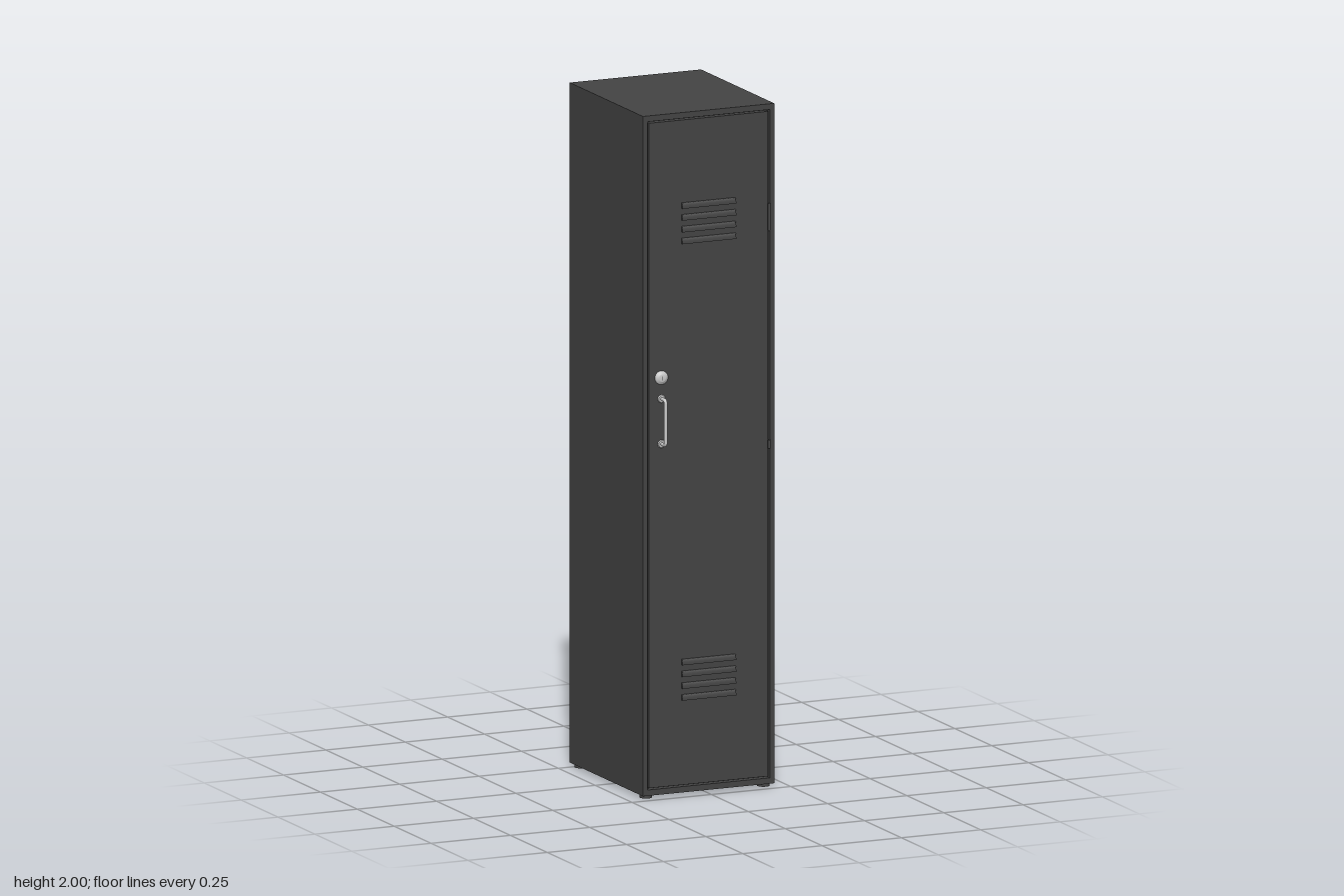
import * as THREE from 'three';

const W = 0.414, BACK = -0.265, FRONT = 0.231, Y0 = 0.01, Y1 = 2, T = 0.008;
const D = FRONT - BACK, H = Y1 - Y0, MY = (Y0 + Y1) / 2, MZ = (FRONT + BACK) / 2;

export function createModel() {
  const root = new THREE.Group();
  root.name = 'locker';
  const paint = new THREE.MeshStandardMaterial({ color: 0x444444 });
  const metal = new THREE.MeshStandardMaterial({ color: 0xcccccc });

  function add(name, geo, mat, x = 0, y = 0, z = 0, parent = root) {
    const m = new THREE.Mesh(geo, mat);
    m.name = name;
    m.position.set(x, y, z);
    parent.add(m);
    return m;
  }
  const box = (name, w, h, d, x, y, z, parent) =>
    add(name, new THREE.BoxGeometry(w, h, d), paint, x, y, z, parent);

  // Sheet metal cabinet shell
  for (const s of [-1, 1]) box('sidePanel', T, H, D, s * (W - T) / 2, MY, MZ);
  box('backPanel', W - 2 * T, H, T, 0, MY, BACK + T / 2);
  box('topPanel', W - 2 * T, T, D - T, 0, Y1 - T / 2, MZ + T / 2);
  box('bottomPanel', W - 2 * T, T, D - T, 0, Y0 + T / 2, MZ + T / 2);

  // Low feet at the corners
  for (const x of [-0.185, 0.185])
    for (const z of [BACK + 0.027, FRONT - 0.027])
      add('foot', new THREE.CylinderGeometry(0.018, 0.018, Y0, 20), paint, x, Y0 / 2, z);

  // Front frame with the door opening
  const frame = new THREE.Shape();
  frame.moveTo(-W / 2 + T, Y0 + T).lineTo(W / 2 - T, Y0 + T)
    .lineTo(W / 2 - T, Y1 - T).lineTo(-W / 2 + T, Y1 - T).closePath();
  const hole = new THREE.Path();
  hole.moveTo(-0.193, 0.027).lineTo(-0.193, 1.983)
    .lineTo(0.193, 1.983).lineTo(0.193, 0.027).closePath();
  frame.holes.push(hole);
  add('frontFrame', new THREE.ExtrudeGeometry(frame, { depth: 0.02, bevelEnabled: false }),
    paint, 0, 0, FRONT - 0.02);
  // Rebate behind the door gap
  box('doorStop', W - 2 * T, H - 2 * T, 0.004, 0, MY, FRONT - 0.022);

  // Door with a narrow gap all round
  const door = new THREE.Group();
  door.name = 'door';
  root.add(door);
  box('doorPanel', 0.376, 1.946, 0.018, 0, 1.005, FRONT - 0.01, door);

  // Louvres: pressed hoods open underneath
  const hood = new THREE.Shape();
  hood.moveTo(0, 0.009).quadraticCurveTo(0.006, 0.008, 0.006, -0.008)
    .lineTo(0.004, -0.008).quadraticCurveTo(0.004, 0.004, 0, 0.005).closePath();
  const hoodGeo = new THREE.ExtrudeGeometry(hood, { depth: 0.17, bevelEnabled: false, curveSegments: 8 });
  hoodGeo.rotateY(-Math.PI / 2).translate(0.085, 0, 0);
  for (const top of [1.727, 0.391])
    for (let i = 0; i < 4; i++) {
      const y = top - i * 0.0345;
      add('louvre', hoodGeo, paint, 0, y, FRONT - 0.001, door);
      for (const s of [-1, 1]) box('louvreEnd', 0.003, 0.014, 0.005, s * 0.0835, y - 0.001, FRONT + 0.0015, door);
    }

  // Hinge knuckles on the model's left edge
  for (const [y, h] of [[1.67, 0.08], [1.005, 0.025]])
    add('hinge', new THREE.CylinderGeometry(0.004, 0.004, h, 16), paint, 0.189, y, FRONT + 0.004, door);

  // Round lock with a key slot
  const lock = new THREE.LatheGeometry([[0, 0.009], [0.01, 0.009], [0.012, 0.007], [0.017, 0.005], [0.02, 0.002], [0.02, -0.001]]
    .reverse().map(p => new THREE.Vector2(...p)), 32);
  lock.rotateX(Math.PI / 2);
  add('lock', lock, metal, -0.149, 1.23, FRONT, door);
  box('keySlot', 0.002, 0.011, 0.002, -0.149, 1.23, FRONT + 0.009, door);

  // Pull handle with rounded corners and mounting plates
  const path = new THREE.CurvePath();
  const p = (y, z) => new THREE.Vector3(-0.148, y, FRONT + z);
  path.add(new THREE.LineCurve3(p(1.036, -0.002), p(1.036, 0.018)));
  path.add(new THREE.QuadraticBezierCurve3(p(1.036, 0.018), p(1.036, 0.027), p(1.045, 0.027)));
  path.add(new THREE.LineCurve3(p(1.045, 0.027), p(1.159, 0.027)));
  path.add(new THREE.QuadraticBezierCurve3(p(1.159, 0.027), p(1.168, 0.027), p(1.168, 0.018)));
  path.add(new THREE.LineCurve3(p(1.168, 0.018), p(1.168, -0.002)));
  add('handle', new THREE.TubeGeometry(path, 96, 0.005, 12), metal, 0, 0, 0, door);
  for (const y of [1.036, 1.168]) {
    const plate = add('handleMount', new THREE.CylinderGeometry(0.01, 0.012, 0.004, 24), metal, -0.148, y, FRONT + 0.001, door);
    plate.rotation.x = Math.PI / 2;
  }
  return root;
}
